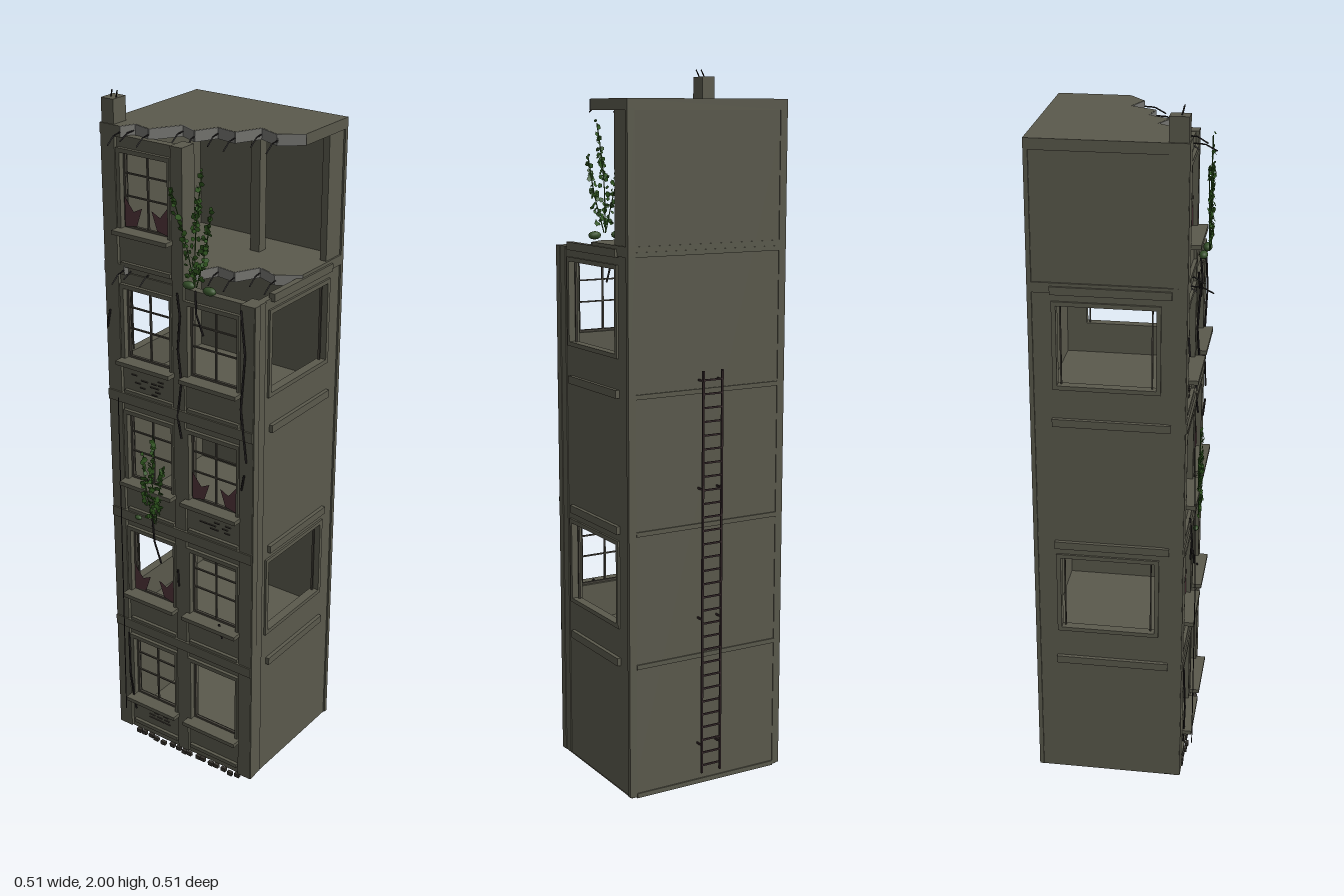
import * as THREE from 'three';
import { mergeGeometries } from 'three/addons/utils/BufferGeometryUtils.js';

const mat = (name, color, side = THREE.FrontSide) =>
  Object.assign(new THREE.MeshStandardMaterial({ color, side }), { name });

export function createModel() {
  const root = new THREE.Group();
  root.name = 'ruinedTower';
  const plaster = mat('olivePlaster', 0x5a594c);
  const broken = mat('brokenConcrete', 0x73736f);
  const frameMat = mat('windowFrame', 0x45423a);
  const steel = mat('darkSteel', 0x1e1b1c);
  const rust = mat('rustyLadder', 0x35282a);
  const cloth = mat('curtainCloth', 0x50343a, THREE.DoubleSide);
  const leafMat = mat('leafGreen', 0x30581f, THREE.DoubleSide);
  const bushMat = mat('bushGreen', 0x35502a);
  const brickMat = mat('brickShadow', 0x37332e);

  let seed = 7;
  const rnd = () => (seed = (seed * 16807) % 2147483647) / 2147483647;
  const V = (x, y, z) => new THREE.Vector3(x, y, z);
  const add = (name, geo, m, parent = root) => {
    const mesh = new THREE.Mesh(geo, m);
    mesh.name = name;
    parent.add(mesh);
    return mesh;
  };
  const boxGeo = (x0, x1, y0, y1, z0, z1) =>
    new THREE.BoxGeometry(x1 - x0, y1 - y0, z1 - z0)
      .translate((x0 + x1) / 2, (y0 + y1) / 2, (z0 + z1) / 2);
  const box = (name, m, ...b) => add(name, boxGeo(...b), m);
  // Thin rod between two points
  const rodGeo = (a, b, r, sides = 5) => {
    const d = b.clone().sub(a);
    return new THREE.CylinderGeometry(r, r, d.length(), sides)
      .applyQuaternion(new THREE.Quaternion().setFromUnitVectors(V(0, 1, 0), d.clone().normalize()))
      .translate((a.x + b.x) / 2, (a.y + b.y) / 2, (a.z + b.z) / 2);
  };
  const rodsAlong = (pts, r) => mergeGeometries(pts.slice(1).map((p, i) => rodGeo(pts[i], p, r)));
  // Rectangular panel in the XY plane with rectangular holes [x0, x1, y0, y1]
  const panel = (x0, x1, y0, y1, depth, holes) => {
    const rect = (S, a, b, c, d) => new S([[a, c], [b, c], [b, d], [a, d]].map(p => new THREE.Vector2(...p)));
    const s = rect(THREE.Shape, x0, x1, y0, y1);
    s.holes = holes.map(h => rect(THREE.Path, ...h));
    return new THREE.ExtrudeGeometry(s, { depth, bevelEnabled: false });
  };

  const P = 0.375, Y0 = 0.015;
  const bays = [[-0.185, -0.03], [0.03, 0.19]];

  // Whole floor slabs
  for (let f = 0; f < 4; f++) box('floorSlab', plaster, -0.24, 0.24, Y0 + f * P - 0.005, Y0 + f * P + 0.02, -0.225, 0.18);

  // Broken floor and roof slabs with torn edge and bent reinforcing bars
  const tear = [[0.247, -0.03], [0.19, 0.015], [0.125, -0.01], [0.09, 0.06], [0.03, 0.05], [0, 0.11],
    [-0.055, 0.085], [-0.105, 0.165], [-0.16, 0.15], [-0.18, 0.19]];
  const bars = [[0.006, 0.06], [0.007, 0.06], [0.007, 0.06], [0.01, 0.06], [0, 0.03], [0.006, 0.06], [0.003, 0.055], [-0.008, 0.055], [0.008, 0.06]];
  const tornSlab = (name, y0, y1) => {
    const pts = [[-0.247, 0.19], [-0.247, -0.23], [0.247, -0.23], ...tear];
    const shape = new THREE.Shape(pts.map(([x, z]) => new THREE.Vector2(x, -z)));
    add(name, new THREE.ExtrudeGeometry(shape, { depth: y1 - y0, bevelEnabled: false })
      .rotateX(-Math.PI / 2).translate(0, y0, 0), plaster);
    // Raw concrete along the tear
    add(name + 'TornEdge', mergeGeometries(tear.slice(1).map(([x, z], i) => {
      const [a, b] = tear[i], d = Math.hypot(x - a, z - b);
      return new THREE.BoxGeometry(d, y1 - y0 - 0.001, 0.005)
        .rotateY(-Math.atan2(z - b, x - a)).translate((a + x) / 2, (y0 + y1) / 2, (b + z) / 2);
    })), broken);
    add(name + 'Rebar', mergeGeometries(bars.map(([dx, dz], i) => {
      const [x, z] = tear[i + 1], y = (y0 + y1) / 2;
      return rodsAlong([V(x, y, z - 0.01), V(x + dx * 0.5, y - 0.003, z + dz * 0.5), V(x + dx, y - 0.02, z + dz)], 0.002);
    })), steel);
  };
  tornSlab('upperFloor', 1.51, 1.538);
  tornSlab('roof', 1.885, 1.915);

  // Back wall and its shallow string courses
  box('backWall', plaster, -0.24, 0.24, 0.012, 1.89, -0.228, -0.212);
  for (let f = 0; f < 5; f++) box('backCourse', plaster, -0.225, 0.225, Y0 + f * P - 0.005, Y0 + f * P + 0.008, -0.232, -0.22);

  // Side walls: solid, or with one large opening on the second and fourth storeys
  for (const s of [-1, 1]) for (let f = 0; f < 5; f++) {
    const y = Y0 + f * P, open = f % 2 === 1, ruined = s > 0 && f === 4;
    const xs = (a, b) => (s > 0 ? [a, b] : [-b, -a]);
    if (ruined) {
      box('sideWallRemnant', plaster, 0.222, 0.242, y, y + P, -0.225, -0.15);
    } else {
      const g = panel(-0.18, 0.225, y, y + P, 0.02, open ? [[-0.11, 0.155, y + 0.11, y + 0.335]] : []);
      add('sideWall', g.rotateY(Math.PI / 2).translate(s > 0 ? 0.222 : -0.242, 0, 0), plaster);
      box('sideFrontPilaster', plaster, ...xs(0.21, 0.247), y, y + P, 0.165, 0.188);
    }
    box('sideBackPilaster', plaster, ...xs(0.225, 0.247), y, y + P, -0.23, -0.218);
    if (open) {
      const g = panel(-0.122, 0.167, y + 0.098, y + 0.347, 0.008, [[-0.11, 0.155, y + 0.11, y + 0.335]]);
      add('sideOpeningTrim', g.rotateY(Math.PI / 2).translate(s > 0 ? 0.24 : -0.248, 0, 0), plaster);
      for (const z of [0.098, -0.146]) box('sideOpeningJamb', frameMat, ...xs(0.228, 0.234), y + 0.11, y + 0.335, z - 0.002, z + 0.002);
    }
    if (f > 0) box('sideCourse', plaster, ...xs(0.235, 0.253), y - 0.008, y + 0.014, -0.17, s > 0 ? 0.11 : 0.15);
  }

  // Front facade, storey by storey
  for (let f = 0; f < 5; f++) {
    const y = Y0 + f * P, top = f === 4, use = top ? bays.slice(0, 1) : bays;
    const win = [y + 0.125, y + 0.33], right = top ? 0.015 : 0.24;
    add('frontWall', panel(-0.24, right, y, y + P - 0.002, 0.022, use.map(b => [...b, ...win])).translate(0, 0, 0.158), plaster);
    box('frontCornerPillar', plaster, -0.245, -0.2, y, y + P, 0.137, 0.19);
    box('frontMiddlePillar', plaster, -0.02, 0.017, y, y + P, 0.135, 0.188);
    if (!top) box('frontCornerPillar', plaster, 0.202, 0.245, y, y + P, 0.137, 0.19);
    if (f > 0 && !top) box('frontCourse', plaster, -0.245, 0.245, y - 0.01, y + 0.02, 0.17, 0.194);
    for (const [a, b] of use) {
      const c = (a + b) / 2;
      add('windowSurround', panel(a - 0.012, b + 0.008, win[0] - 0.005, win[1] + 0.012, 0.012, [[a, b, ...win]]).translate(0, 0, 0.178), plaster);
      box('windowSill', plaster, a - 0.012, b + 0.015, win[0] - 0.012, win[0], 0.165, 0.217);
      box('parapetLedge', plaster, a - 0.005, b + 0.005, y + 0.018, y + 0.03, 0.17, 0.19);
      // Sash frame with glazing bars
      add('sashFrame', panel(a, b, ...win, 0.008, [[a + 0.006, b - 0.006, win[0] + 0.006, win[1] - 0.006]]).translate(0, 0, 0.166), frameMat);
      const shattered = (f === 1 && a < 0) || (f === 0 && a > 0);
      if (!shattered) {
        box('glazingBar', frameMat, c - 0.0025, c + 0.0025, ...win, 0.167, 0.172);
        for (const t of [0.42, 0.72]) {
          const h = win[0] + t * 0.205;
          box('glazingBar', frameMat, a, b, h - 0.002, h + 0.002, 0.167, 0.172);
        }
      }
      // Torn curtain scraps at both sides
      if ((a < 0 && (f === 4 || f === 1)) || (a > 0 && f === 2)) for (const [x, s] of [[a + 0.004, 1], [b - 0.004, -1]]) {
        const sh = new THREE.Shape([[0, 0.085], [s * 0.03, 0.048], [s * 0.058, 0.062], [s * 0.04, 0.01], [0, 0.002]]
          .map(([u, v]) => new THREE.Vector2(x + u, win[0] + v)));
        add('tornCurtain', new THREE.ShapeGeometry(sh).translate(0, 0, 0.177), cloth);
      }
    }
  }
  box('curtainRail', cloth, -0.175, -0.035, 1.842, 1.847, 0.175, 0.181);
  box('innerPost', plaster, 0.025, 0.055, 1.53, 1.89, -0.135, -0.105);

  // Chimney stub with loose wires
  box('chimney', plaster, -0.242, -0.202, 1.88, 1.98, 0.136, 0.187);
  for (const x of [-0.23, -0.213]) add('chimneyWire', rodGeo(V(x, 1.97, 0.163), V(x + 0.012, 2, 0.17), 0.0018), steel);

  // Ladder on the back
  const ladder = [];
  for (const x of [-0.03, 0.03]) {
    ladder.push(boxGeo(x - 0.0025, x + 0.0025, 0.05, 1.2, -0.256, -0.25));
    for (const y of [0.13, 0.5, 0.87, 1.17]) ladder.push(boxGeo(x - 0.002, x + 0.002, y, y + 0.005, -0.252, -0.225));
  }
  for (let i = 0; i < 30; i++) ladder.push(boxGeo(-0.03, 0.03, 0.07 + i * 0.038, 0.075 + i * 0.038, -0.255, -0.251));
  add('ladder', mergeGeometries(ladder), rust);

  // Cracks and hanging cables on the front
  [
    [[0, 1.5], [0.012, 1.44], [0, 1.34], [0.014, 1.25], [-0.004, 1.14], [0.012, 1.08]],
    [[0.205, 1.5], [0.222, 1.38], [0.206, 1.22], [0.228, 1.07]],
    [[0.06, 1.52], [0.065, 1.46], [0.085, 1.4]],
    [[-0.1, 0.8], [-0.09, 0.72], [-0.07, 0.65]],
    [[-0.2, 0.36], [-0.195, 0.22], [-0.18, 0.09]],
    [[-0.01, 0.65], [-0.004, 0.6]], [[0.135, 0.52], [0.15, 0.48]],
    [[-0.23, 1.4], [-0.237, 1.35]], [[0.21, 0.98], [0.222, 1.03]],
  ].forEach(l => add('frontCrack', rodsAlong(l.map(([x, y], i) => V(x, y, i % 2 ? 0.197 : 0.192)), 0.003), steel));
  add('hangingCable', rodsAlong([V(-0.197, 1.15, 0.21), V(-0.193, 0.6, 0.219), V(-0.197, 0.1, 0.219)], 0.0015), steel);

  // Exposed brick marks
  for (const [cx, cy] of [[-0.12, 1.195], [0.105, 0.84], [-0.12, 0.08]]) {
    const bricks = [];
    for (let i = 0; i < 14; i++) {
      const x = cx + (rnd() - 0.5) * 0.1, y = cy + (Math.floor(rnd() * 5) - 2) * 0.011;
      bricks.push(boxGeo(x, x + 0.018, y, y + 0.003, 0.179, 0.183));
    }
    add('brickMarks', mergeGeometries(bricks), brickMat);
  }

  // Climbing ivy: stems with scattered leaves
  const ivy = (stems) => stems.forEach(pts => {
    const curve = new THREE.CatmullRomCurve3(pts.map(([x, y]) => V(x, y, 0.214)));
    add('ivyStem', new THREE.TubeGeometry(curve, 10, 0.0018, 4), leafMat);
    const leaves = [];
    for (let i = 0; i < 46; i++) {
      const t = 0.12 + 0.88 * rnd(), p = curve.getPoint(t), w = 0.034 * (1.15 - t);
      leaves.push(new THREE.CircleGeometry(0.005 + rnd() * 0.004, 5)
        .rotateX((rnd() - 0.5) * 1.4).rotateY((rnd() - 0.5) * 1.4)
        .translate(p.x + (rnd() - 0.5) * w, p.y + (rnd() - 0.5) * 0.02, 0.217 + (rnd() - 0.5) * 0.008));
    }
    add('ivyLeaves', mergeGeometries(leaves), leafMat);
  });
  ivy([[[0.075, 1.54], [0.045, 1.66], [0, 1.79]], [[0.075, 1.54], [0.08, 1.7], [0.1, 1.85]], [[0.08, 1.54], [0.11, 1.65], [0.13, 1.76]]]);
  ivy([[[-0.075, 0.79], [-0.1, 0.88], [-0.11, 1.0]], [[-0.075, 0.79], [-0.08, 0.92], [-0.07, 1.06]], [[-0.07, 0.79], [-0.06, 0.87], [-0.04, 0.98]]]);
  for (const [x, y, z, r] of [[0.045, 1.535, 0.2, 0.019], [0.115, 1.535, 0.205, 0.02], [-0.135, 0.79, 0.212, 0.012]])
    add('bush', new THREE.IcosahedronGeometry(r, 1).scale(1, 0.6, 0.65).translate(x, y, z), bushMat);

  // Rubble
  add('rubble', new THREE.IcosahedronGeometry(0.012, 0).scale(1, 0.6, 0.7).translate(-0.075, 1.545, 0.13), broken);
  const bits = [];
  for (let i = 0; i < 16; i++) bits.push(new THREE.BoxGeometry(0.016, 0.012, 0.01).translate(-0.18 + i * 0.025 + rnd() * 0.01, 0.006, 0.185 + rnd() * 0.008));
  add('baseRubble', mergeGeometries(bits), brickMat);
  return root;
}
